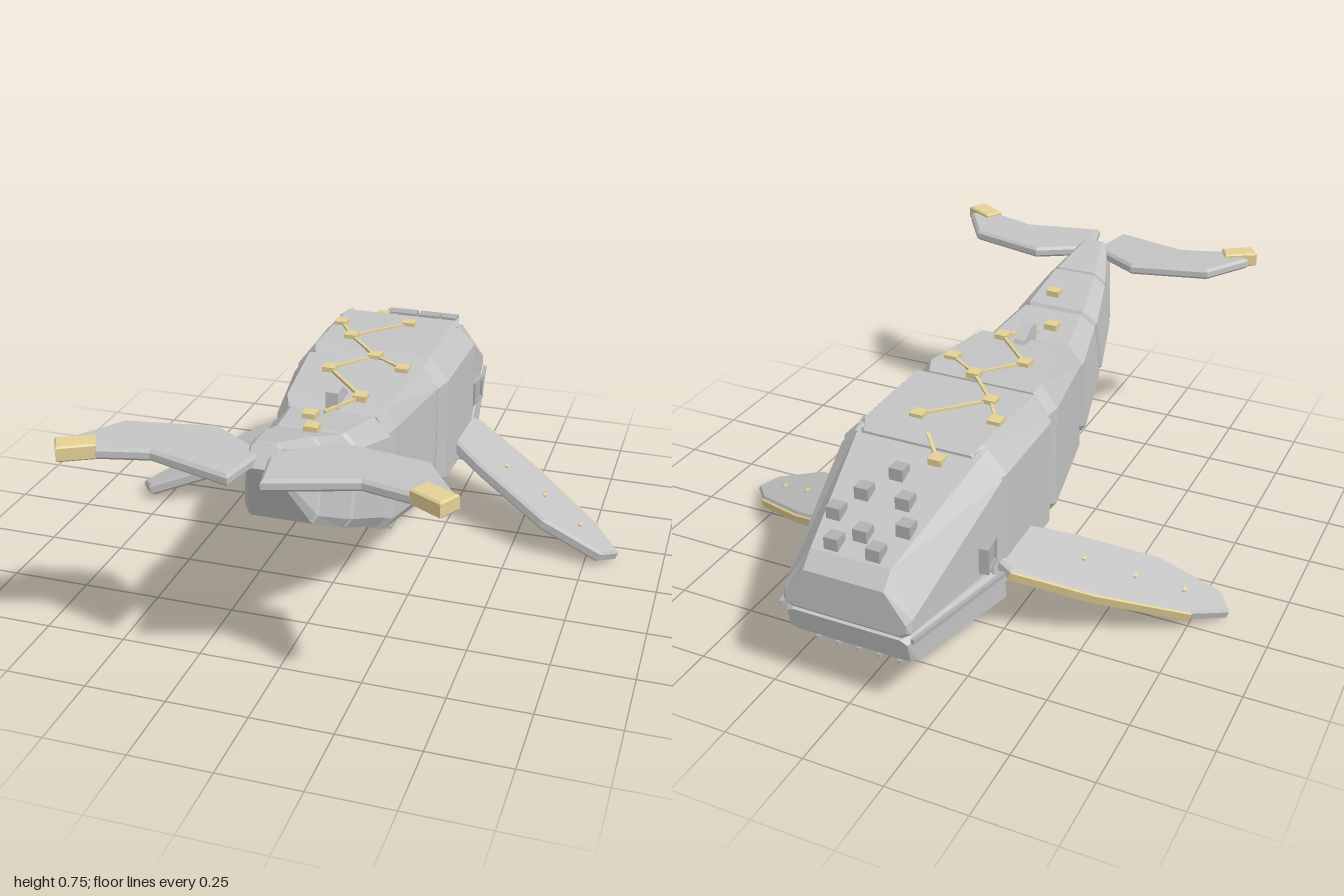
import * as THREE from 'three';

const mat = (name, color) => Object.assign(new THREE.MeshStandardMaterial({ color, flatShading: true }), { name });

export function createModel() {
  const model = new THREE.Group();
  model.name = 'whale';
  const hull = mat('hull grey', 0xc3c3c3);
  const trim = mat('trim grey', 0xb0b1b3);
  const gold = mat('pale gold', 0xe3d095);

  function add(name, geo, material, parent = model) {
    const m = new THREE.Mesh(geo, material);
    m.name = name;
    parent.add(m);
    return m;
  }
  const box = (name, w, h, d, x, y, z, material, parent) => {
    const m = add(name, new THREE.BoxGeometry(w, h, d), material, parent);
    m.position.set(x, y, z);
    return m;
  };
  // Straight bar between two points
  function beam(name, a, b, w, h, material, parent = model) {
    const p = new THREE.Vector3(...a), q = new THREE.Vector3(...b);
    const m = new THREE.Mesh(new THREE.BoxGeometry(w, h, p.distanceTo(q)), material);
    m.name = name;
    m.position.copy(p).add(q).multiplyScalar(0.5);
    m.lookAt(q);
    parent.add(m);
  }

  // Section: [topZ, topY, bottomZ, bottomY, topHalfWidth, halfWidth, shoulder height 0-1], as an eight-sided ring
  function ring([tz, ty, bz, by, wt, w, shoulder = 0.84], shrink = 1) {
    const wb = w * 0.86, low = 0.1;
    const outline = [[wt, 1], [-wt, 1], [-w, shoulder], [-w, low], [-wb, 0], [wb, 0], [w, low], [w, shoulder]];
    return outline.map(([x, t]) => {
      const k = 0.5 + (t - 0.5) * shrink;
      return [x * shrink, by + (ty - by) * k, bz + (tz - bz) * k];
    });
  }
  function loft(rings) {
    const pos = [], n = rings[0].length;
    const tri = (a, b, c) => pos.push(...a, ...b, ...c);
    for (let r = 0; r < rings.length - 1; r++) {
      const a = rings[r], b = rings[r + 1];
      for (let i = 0; i < n; i++) {
        const j = (i + 1) % n;
        tri(a[i], a[j], b[j]);
        tri(a[i], b[j], b[i]);
      }
    }
    const first = rings[0], last = rings[rings.length - 1];
    for (let i = 1; i < n - 1; i++) {
      tri(first[0], first[i + 1], first[i]);
      tri(last[0], last[i], last[i + 1]);
    }
    const g = new THREE.BufferGeometry();
    g.setAttribute('position', new THREE.Float32BufferAttribute(pos, 3));
    g.computeVertexNormals();
    return g;
  }
  // Armoured block with bevelled ends
  function segment(name, A, B, bevel = 0.1, shrink = 0.91) {
    const mix = (t) => A.map((v, i) => v + (B[i] - v) * t);
    add(name, loft([ring(A, shrink), ring(mix(bevel)), ring(mix(1 - bevel)), ring(B, shrink)]), hull);
  }

  // Body and tail blocks, running from head to tail
  segment('frontBody', [-0.56, 0.645, -0.56, 0.14, 0.19, 0.268], [-0.14, 0.64, -0.14, 0.165, 0.2, 0.258]);
  segment('rearBody', [-0.14, 0.645, -0.13, 0.165, 0.195, 0.25], [0.24, 0.62, 0.27, 0.22, 0.155, 0.185]);
  segment('tailBaseBlock', [0.225, 0.6, 0.28, 0.25, 0.135, 0.19], [0.45, 0.635, 0.535, 0.375, 0.1, 0.145], 0.08);
  segment('tailMiddleBlock', [0.44, 0.63, 0.525, 0.37, 0.1, 0.15], [0.635, 0.705, 0.72, 0.48, 0.07, 0.105], 0.08);
  segment('tailEndBlock', [0.62, 0.7, 0.71, 0.475, 0.07, 0.108], [0.8, 0.755, 0.855, 0.695, 0.03, 0.042], 0.06);

  // Head with wide sloping cheeks, and lower jaw
  add('head', loft([
    ring([-0.995, 0.42, -0.995, 0.29, 0.125, 0.19, 0.3]),
    ring([-0.95, 0.465, -0.99, 0.282, 0.125, 0.202, 0.32]),
    ring([-0.54, 0.622, -0.54, 0.245, 0.2, 0.262, 0.82]),
  ]), hull);
  add('lowerJaw', loft([
    ring([-0.995, 0.275, -0.975, 0.195, 0.17, 0.19]),
    ring([-0.97, 0.28, -0.96, 0.185, 0.185, 0.205]),
    ring([-0.53, 0.24, -0.51, 0.122, 0.24, 0.264]),
    ring([-0.49, 0.23, -0.49, 0.13, 0.22, 0.25]),
  ]), hull);

  // Throat and belly ribs
  for (let i = -2; i <= 2; i++) {
    beam('throatRib', [i * 0.07, 0.102, -0.5], [i * 0.066, 0.15, -0.94], 0.012, 0.012, trim);
    beam('bellyRib', [i * 0.07, 0.137, 0.08], [i * 0.07, 0.137, -0.5], 0.009, 0.009, trim);
  }

  // Upright blocks on top of the snout
  const studs = [[-0.065, -0.92], [0.065, -0.92], [0, -0.875], [-0.11, -0.83], [0.11, -0.83],
    [-0.065, -0.75], [0.065, -0.75], [0, -0.665]];
  for (const [x, z] of studs) {
    box('snoutBlock', 0.044, 0.044, 0.044, x, 0.63 + (z + 0.54) * 0.383, z, trim);
  }

  // Gold star chain along the back
  const stars = [[-0.085, 0.607, -0.595], [-0.17, 0.645, -0.385], [0.055, 0.645, -0.44], [-0.1, 0.645, -0.275],
    [0.025, 0.642, -0.13], [0.14, 0.642, -0.05], [-0.085, 0.64, 0.005], [0.07, 0.632, 0.175],
    [-0.04, 0.625, 0.33], [0.025, 0.667, 0.5]];
  for (const [x, y, z] of stars) box('star', 0.042, 0.02, 0.042, x, y, z, gold);
  for (const [a, b] of [[1, 3], [2, 3], [3, 4], [4, 5], [4, 6], [6, 7]]) {
    beam('starLink', stars[a], stars[b], 0.01, 0.01, gold);
  }
  beam('starLink', stars[0], [-0.015, 0.64, -0.52], 0.01, 0.01, gold);
  beam('starLink', stars[7], [-0.01, 0.618, 0.285], 0.01, 0.01, gold);

  // Small back fin
  const finShape = new THREE.Shape([[0.245, 0.61], [0.245, 0.665], [0.2, 0.67], [0.155, 0.64], [0.14, 0.61]]
    .map(([z, y]) => new THREE.Vector2(-z, y)));
  const fin = add('backFin', new THREE.ExtrudeGeometry(finShape, { depth: 0.04, bevelEnabled: false }), hull);
  fin.rotation.y = Math.PI / 2;
  fin.position.x = -0.02;

  // Flat bevelled plate from [x, z] corners, centred on y = 0
  function plate(points, s, thick, bevel = 0.009) {
    const shape = new THREE.Shape(points.map(([x, z]) => new THREE.Vector2(x * s, z)));
    const g = new THREE.ExtrudeGeometry(shape, {
      depth: thick - 2 * bevel, bevelThickness: bevel, bevelSize: bevel, bevelOffset: -bevel, bevelSegments: 1,
    });
    return g.rotateX(Math.PI / 2).translate(0, thick / 2 - bevel, 0);
  }

  for (const s of [1, -1]) {
    // Side flippers, sloping down and out
    const flipper = new THREE.Group();
    flipper.name = s > 0 ? 'leftFlipper' : 'rightFlipper';
    const stretch = 1 / Math.cos(0.39);
    const local = ([x, z]) => [(x - 0.27) * stretch, z];
    const leading = [[0.29, -0.555], [0.51, -0.44], [0.76, -0.27], [0.85, -0.165]].map(local);
    const trailing = [[0.8, -0.1], [0.6, -0.12], [0.36, -0.25], [0.23, -0.34], [0.23, -0.54]].map(local);
    add('flipperBlade', plate([...leading, ...trailing], s, 0.042), hull, flipper);
    for (let i = 0; i < 2; i++) {
      const [a, b] = [leading[i], leading[i + 1]];
      beam('flipperGoldEdge', [a[0] * s, 0, a[1]], [b[0] * s, 0, b[1]], 0.014, 0.028, gold, flipper);
    }
    for (const p of [[0.43, -0.33], [0.575, -0.27], [0.71, -0.2]].map(local)) {
      box('flipperDot', 0.01, 0.01, 0.022, p[0] * s, 0.022, p[1], gold, flipper);
    }
    flipper.position.set(0.27 * s, 0.255, 0);
    flipper.rotation.z = -0.39 * s;
    model.add(flipper);

    // Tail flukes with gold tips
    const fluke = new THREE.Group();
    fluke.name = s > 0 ? 'leftFluke' : 'rightFluke';
    add('flukeBlade', plate([[0.01, 0.8], [0.18, 0.69], [0.44, 0.745], [0.54, 0.9], [0.48, 0.95],
      [0.295, 0.9], [0.045, 0.97]], s, 0.036), hull, fluke);
    add('flukeTip', plate([[0.468, 0.927], [0.532, 0.876], [0.56, 0.94], [0.52, 0.99], [0.435, 0.935]].length
      ? [[0.53, 0.876], [0.56, 0.936], [0.467, 0.99], [0.432, 0.93]].map(([x, z]) => [0.992 - x, z]) : [], s, 0.046, 0.005),
      gold, fluke).position.y = 0.006;
    fluke.position.y = 0.71;
    fluke.rotation.z = 0.02 * s;
    model.add(fluke);

    // Eye: square frame around a small inner block
    const eye = new THREE.Group();
    eye.name = s > 0 ? 'leftEye' : 'rightEye';
    for (const d of [-1, 1]) {
      box('eyeFrameSide', 0.03, 0.08, 0.012, 0, 0, d * 0.036, trim, eye);
      box('eyeFrameBar', 0.03, 0.012, 0.084, 0, d * 0.036, 0, trim, eye);
    }
    box('eyeBlock', 0.02, 0.05, 0.045, 0, -0.004, 0, trim, eye);
    eye.position.set(0.255 * s, 0.35, -0.62);
    eye.rotation.y = -0.14 * s;
    model.add(eye);

    // Lip rails along the mouth
    beam('lipRail', [0.208 * s, 0.283, -0.995], [0.276 * s, 0.25, -0.56], 0.012, 0.014, trim);
    // Flat pointed shoulder corners
    const spike = add('shoulderSpike', new THREE.ConeGeometry(0.026, 0.09, 4), hull);
    spike.rotation.x = -Math.PI / 2;
    spike.scale.z = 0.3;
    spike.position.set(0.19 * s, 0.628, -0.54);
  }
  return model;
}
